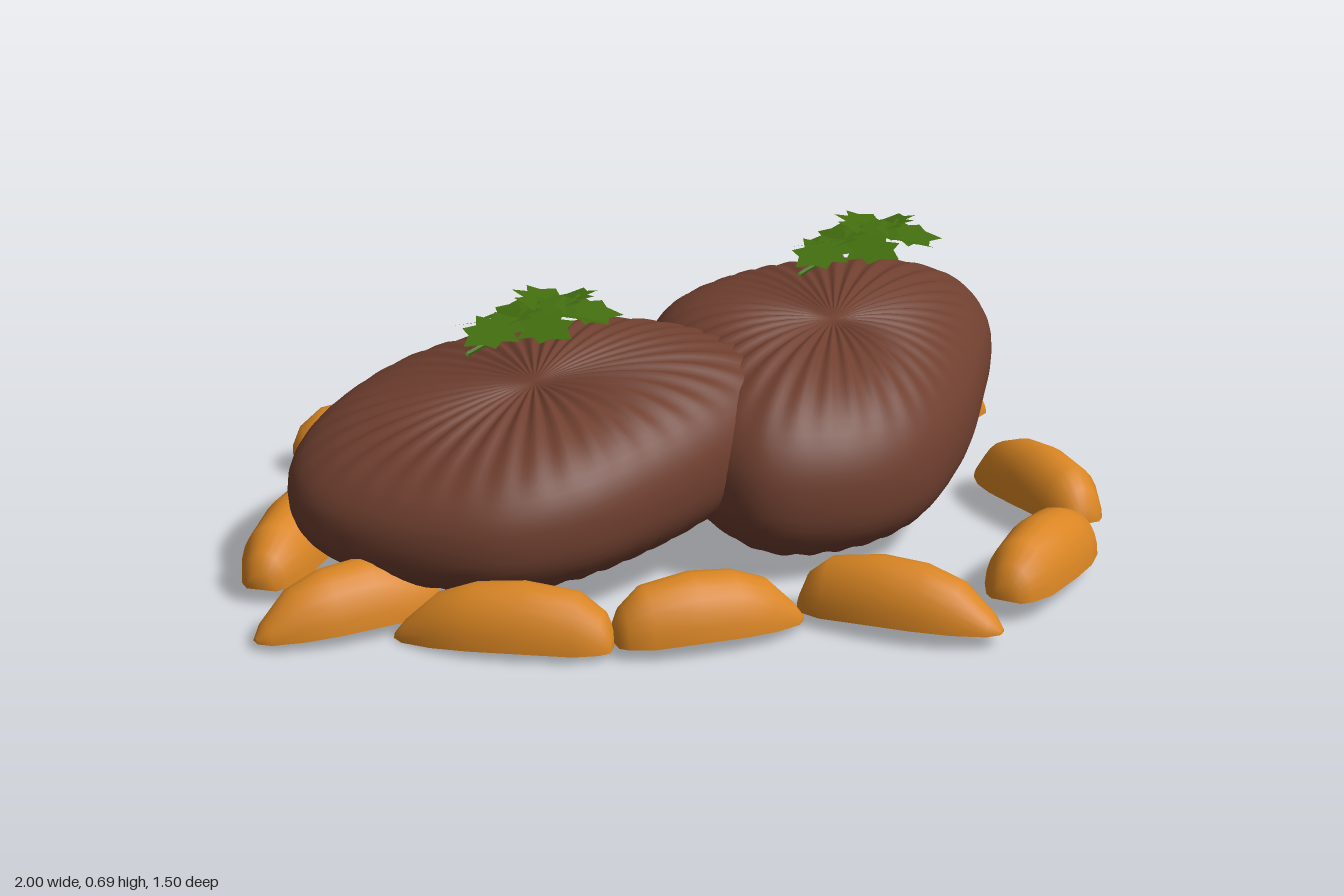
import * as THREE from 'three';
import { mergeVertices } from 'three/addons/utils/BufferGeometryUtils.js';

const brown = new THREE.MeshStandardMaterial({ color: 0x6f3f2f });
brown.name = 'meat brown';
const orange = new THREE.MeshStandardMaterial({ color: 0xd98523 });
orange.name = 'roast orange';
const green = new THREE.MeshStandardMaterial({ color: 0x426d0f, side: THREE.DoubleSide, flatShading: true });
green.name = 'herb green';

// Surface from a grid of points: fn(i, j) returns [x, y, z]
function grid(nu, nv, fn) {
  const pos = [], idx = [];
  for (let i = 0; i <= nu; i++) for (let j = 0; j <= nv; j++) pos.push(...fn(i, j));
  for (let i = 0; i < nu; i++) for (let j = 0; j < nv; j++) {
    const a = i * (nv + 1) + j, b = a + nv + 1;
    idx.push(a, b, a + 1, b, b + 1, a + 1);
  }
  let g = new THREE.BufferGeometry();
  g.setAttribute('position', new THREE.Float32BufferAttribute(pos, 3));
  g.setIndex(idx);
  g = mergeVertices(g, 1e-5);
  g.computeVertexNormals();
  return g;
}

// Rounded slab with a free outline and radial pleats; top and bottom have their own [x, z] slopes
function steak(name, [cx, cy, cz], outline, half, topSlope, bottomSlope) {
  const N = 216, M = 30, pleats = 36;
  const curve = new THREE.CatmullRomCurve3(outline.map(([x, z]) => new THREE.Vector3(x - cx, 0, z - cz)), true);
  const rim = curve.getSpacedPoints(N);
  const geo = grid(N, M, (i, j) => {
    const p = rim[i % N], phi = (j / M) * Math.PI;
    const s = j === 0 || j === M ? 0 : Math.pow(Math.sin(phi), 0.85);
    const c = Math.cos(phi), up = (1 + c) / 2;
    const wave = Math.sin((i % N) / N * Math.PI * 2 * pleats);
    const pleat = 0.005 * wave * Math.sin(Math.min(1, s * 1.05) * Math.PI);
    const dip = 1 - (c > 0 ? 0.1 : 0.35) * Math.pow(1 - s, 2);
    const y = Math.sign(c) * Math.pow(Math.abs(c), 0.86) * half * dip + pleat;
    const x = p.x * s, z = p.z * s;
    const tilt = k => THREE.MathUtils.lerp(bottomSlope[k], topSlope[k], up);
    return [cx + x, cy + y + tilt(0) * x + tilt(1) * z, cz + z];
  });
  const m = new THREE.Mesh(geo, brown);
  m.name = name;
  return m;
}

// Wedge stations: position along the length, half width, height
const stations = [
  [0, 0, 0], [0, 0.035, 0.035], [0.04, 0.055, 0.08], [0.15, 0.08, 0.122], [0.4, 0.092, 0.14],
  [0.62, 0.09, 0.133], [0.8, 0.072, 0.105], [0.95, 0.04, 0.04], [1, 0.012, 0.01], [1, 0, 0],
];

// Potato wedge from a blunt end to a sharp end, each [x, y, z]
function wedge(a, b) {
  const dx = b[0] - a[0], dy = b[1] - a[1], dz = b[2] - a[2];
  const flat = Math.hypot(dx, dz), L = Math.hypot(flat, dy);
  const base = t => 0.012 * Math.sin(Math.PI * t);
  const n = stations.length - 1;
  const skin = grid(n, 12, (i, j) => {
    const [t, w, h] = stations[i], f = (j / 12) * Math.PI;
    return [t * L, base(t) + (h - base(t)) * Math.sin(f), w * Math.cos(f)];
  });
  const cut = grid(n, 2, (i, j) => {
    const [t, w] = stations[i];
    return [t * L, base(t), w * (j - 1)];
  });
  const g = new THREE.Group();
  const top = new THREE.Mesh(skin, orange), under = new THREE.Mesh(cut, brown);
  top.name = 'wedgeSkin';
  under.name = 'wedgeUnderside';
  g.add(top, under);
  g.position.set(...a);
  g.rotation.set(0, Math.atan2(-dz, dx), Math.atan2(dy, flat));
  g.name = 'potatoWedge';
  return g;
}

// Serrated leaflet lying along +x
function leafletGeometry() {
  const edge = [[0.015, 0.02], [0.025, 0.055], [0.05, 0.04], [0.065, 0.075], [0.09, 0.045], [0.12, 0.058], [0.128, 0.026]];
  const s = new THREE.Shape();
  s.moveTo(0, 0);
  edge.forEach(([x, y]) => s.lineTo(x, y));
  s.lineTo(0.165, 0);
  [...edge].reverse().forEach(([x, y]) => s.lineTo(x, -y));
  s.closePath();
  const geo = new THREE.ShapeGeometry(s);
  geo.rotateX(-Math.PI / 2);
  return geo;
}

// Herb sprig: a thin stem with overlapping, drooping leaflets
function sprig(x, y, z) {
  const g = new THREE.Group();
  g.name = 'herbSprig';
  const geo = leafletGeometry();
  // offset x, y, z, heading, pitch, roll
  [
    [-0.05, 0.015, 0.04, 2.85, -0.2, 0.25], [-0.06, 0.01, 0.03, 3.8, -0.22, -0.2],
    [-0.09, 0.0, 0.06, 1.3, 0.12, -0.2], [-0.06, 0.01, 0.02, -0.8, -0.12, 0.25],
    [-0.03, 0.02, 0.01, 1.2, 0.02, 0.3], [0.0, 0.02, 0.0, -0.4, -0.15, -0.25],
    [0.02, 0.025, -0.01, 0.1, -0.2, 0.2], [0.02, 0.015, -0.01, 1.1, 0.03, -0.25],
    [-0.06, 0.01, 0.02, 0.4, 0.1, 0.15],
  ].forEach(([px, py, pz, head, pitch, roll]) => {
    const leaf = new THREE.Mesh(geo, green);
    leaf.name = 'leaflet';
    leaf.position.set(px, py, pz);
    leaf.rotation.set(roll, head, pitch, 'YZX');
    g.add(leaf);
  });
  const path = new THREE.CatmullRomCurve3([
    new THREE.Vector3(-0.18, -0.04, 0.14), new THREE.Vector3(-0.08, -0.012, 0.06), new THREE.Vector3(0.05, 0.012, -0.02),
  ]);
  const stem = new THREE.Mesh(new THREE.TubeGeometry(path, 8, 0.006, 5), green);
  stem.name = 'stem';
  g.add(stem);
  g.position.set(x, y, z);
  return g;
}

export function createModel() {
  const model = new THREE.Group();
  model.name = 'steakPlatter';

  model.add(steak('rightSteak', [-0.33, 0.275, 0.2], [
    [-0.89, 0.2], [-0.83, 0], [-0.65, -0.2], [-0.38, -0.28], [-0.05, -0.25], [0.2, -0.07], [0.27, 0.08],
    [0.15, 0.27], [-0.05, 0.45], [-0.25, 0.57], [-0.45, 0.605], [-0.7, 0.52], [-0.85, 0.38],
  ], 0.207, [0.13, -0.15], [0.02, -0.14]));
  model.add(steak('leftSteak', [0.38, 0.3, -0.08], [
    [0.6, -0.655], [0.76, -0.59], [0.81, -0.42], [0.76, -0.18], [0.68, 0.05], [0.55, 0.25], [0.36, 0.36],
    [0.15, 0.37], [0, 0.2], [-0.06, -0.1], [-0.04, -0.28], [0.12, -0.46], [0.36, -0.6],
  ], 0.228, [-0.12, -0.15], [0.0, -0.26]));

  // Wedges scattered around the steaks
  [
    [[-0.91, 0.04, -0.5], [-0.42, 0.05, -0.6]],
    [[-0.08, 0.13, -0.71], [0.36, 0.12, -0.47]],
    [[0.47, 0.1, -0.37], [0.83, 0.09, -0.61]],
    [[0.955, 0.06, 0.14], [0.785, 0.03, -0.3]],
    [[0.69, 0.055, 0.58], [0.94, 0.03, 0.17]],
    [[0.25, 0.025, 0.49], [0.66, 0.035, 0.71]],
    [[-0.18, 0.03, 0.69], [0.24, 0.025, 0.57]],
    [[-0.18, 0.02, 0.69], [-0.65, 0.005, 0.56]],
    [[-0.56, 0.025, 0.42], [-0.95, 0.02, 0.61]],
    [[-0.95, 0.04, 0.36], [-0.77, 0.06, -0.15]],
  ].forEach(([a, b]) => model.add(wedge(a, b)));

  model.add(sprig(-0.3, 0.573, 0.07), sprig(0.48, 0.65, -0.24));
  return model;
}
